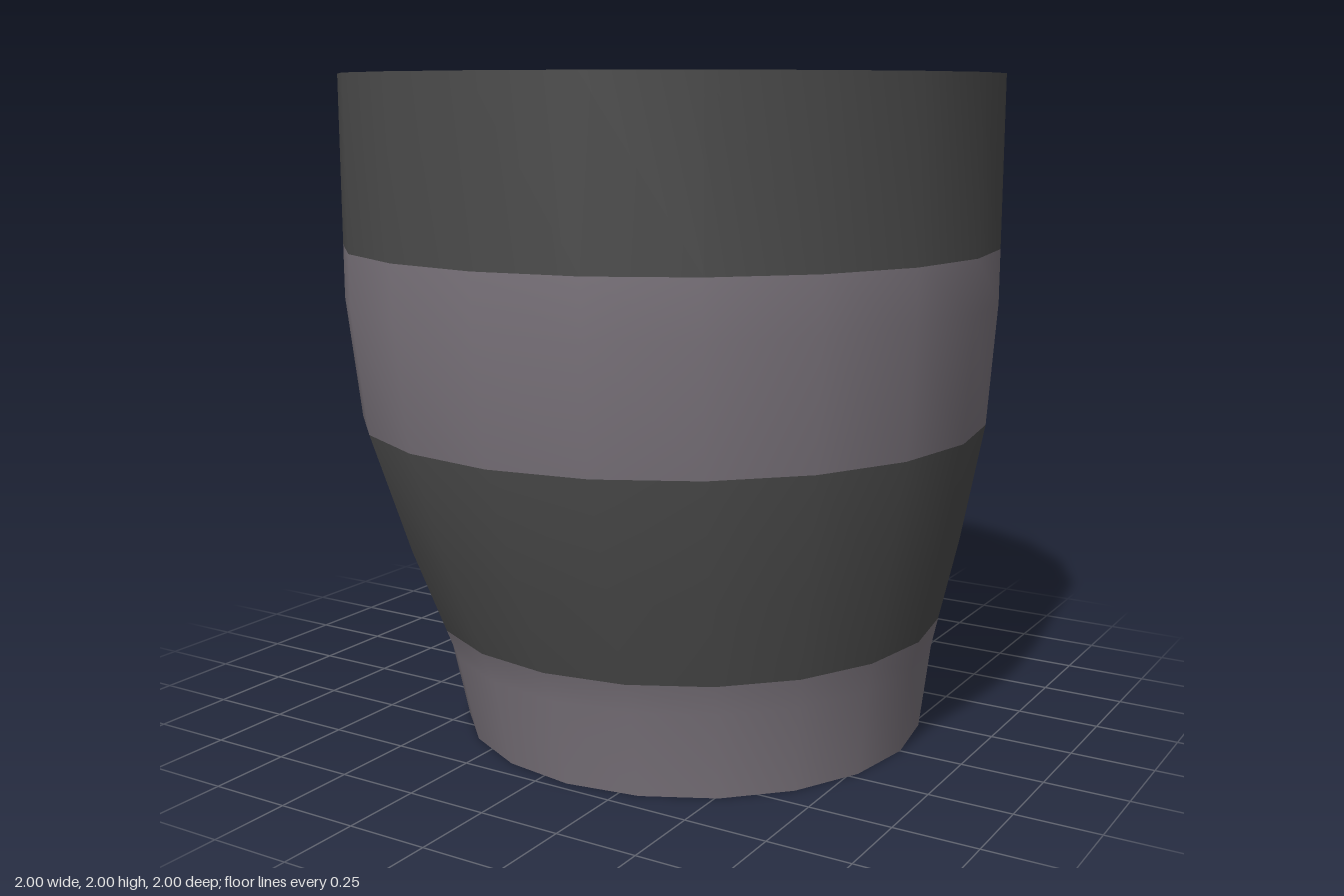
import * as THREE from 'three';
import { mergeVertices } from 'three/addons/utils/BufferGeometryUtils.js';

const SIDES = 20;

// Rings from bottom to top: height, radius, sideways shift
const RINGS = [
  [0, 0.718, 0.0875], [0.26, 0.763, 0.073], [0.35, 0.791, 0.064], [0.6, 0.87, 0.04],
  [0.96, 0.965, 0.01], [1.33, 1, 0], [1.49, 1, 0], [2, 1, 0],
];

// Half width of the regular rim polygon at depth z
function rimWidth(r, z) {
  const step = (2 * Math.PI) / SIDES;
  const t = Math.acos(THREE.MathUtils.clamp(z / r, -1, 1)) / step;
  const k = Math.min(Math.floor(t + 1e-9), SIDES / 2 - 1);
  const z0 = r * Math.cos(k * step), z1 = r * Math.cos((k + 1) * step);
  const x0 = r * Math.sin(k * step), x1 = r * Math.sin((k + 1) * step);
  return THREE.MathUtils.lerp(x0, x1, (z - z0) / (z1 - z0));
}

// Flat cap region between two edge functions, from depth zMin to zMax
function capRegion(r, [y, cx], zMin, zMax, left, right, up) {
  const zs = [zMin, zMax];
  for (let k = 0; k <= SIDES / 2; k++) zs.push(r * Math.cos((k * 2 * Math.PI) / SIDES));
  for (let k = 1; k < 30; k++) zs.push(THREE.MathUtils.lerp(zMin, zMax, k / 30));
  const rows = zs.filter((z) => z >= zMin && z <= zMax).sort((a, b) => a - b);
  const pos = [], index = [];
  rows.forEach((z, i) => {
    pos.push(cx + left(z), y, z, cx + right(z), y, z);
    if (i === 0) return;
    const a = 2 * i - 2, b = a + 1, c = a + 2, d = a + 3;
    index.push(...(up ? [a, c, d, a, d, b] : [a, d, c, a, b, d]));
  });
  const geo = new THREE.BufferGeometry();
  geo.setAttribute('position', new THREE.Float32BufferAttribute(pos, 3));
  geo.setIndex(index);
  geo.computeVertexNormals();
  return geo;
}

export function createModel() {
  const group = new THREE.Group();
  const dark = new THREE.MeshStandardMaterial({ color: 0x4b4b4b });
  dark.name = 'charcoal';
  const light = new THREE.MeshStandardMaterial({ color: 0x7b747c });
  light.name = 'mauveGrey';

  const add = (name, geo, mat) => {
    const mesh = new THREE.Mesh(geo, mat);
    mesh.name = name;
    group.add(mesh);
  };

  // Tapered wall, leaning slightly sideways towards the bottom
  let wall = new THREE.LatheGeometry(RINGS.map(([y, r]) => new THREE.Vector2(r, y)), SIDES);
  const p = wall.attributes.position;
  for (let i = 0; i < p.count; i++) p.setX(i, p.getX(i) + RINGS[i % RINGS.length][2]);
  wall.deleteAttribute('uv');
  wall.deleteAttribute('normal');
  wall = mergeVertices(wall, 1e-4);
  wall.computeVertexNormals();

  // Painted bands: first and last ring of each
  const bands = [
    ['footBand', 0, 2, light], ['lowerBand', 2, 4, dark],
    ['middleBand', 4, 6, light], ['rimBand', 6, 7, dark],
  ];
  const faces = Array.from(wall.index.array);
  const rows = RINGS.length - 1;
  for (const [name, from, to, mat] of bands) {
    const geo = wall.clone();
    geo.setIndex(faces.filter((_, i) => {
      const row = Math.floor(i / 6) % rows;
      return row >= from && row < to;
    }));
    add(name, geo, mat);
  }

  // Caps: straight stripes at the back, a rounded tongue at the front
  function cap(name, ring, up, stripes, frontZ, tongueMat, sideMat, [tz, rz, rx]) {
    const [y, r, cx] = ring;
    const rim = (z) => rimWidth(r, z);
    const tongue = (z) => {
      const t = Math.min((z - tz) / rz, 0);
      return Math.min(rim(z), rx * Math.sqrt(Math.max(0, 1 - t * t)));
    };
    const region = (part, z0, z1, left, right, mat) =>
      add(name + part, capRegion(r, [y, cx], z0, z1, left, right, up), mat);
    stripes.forEach(([z0, z1, mat]) =>
      region('Stripe', Math.max(z0, -r), z1, (z) => -rim(z), rim, mat));
    region('Tongue', frontZ, r, (z) => -tongue(z), tongue, tongueMat);
    region('RightCorner', frontZ, r, (z) => -rim(z), (z) => -tongue(z), sideMat);
    region('LeftCorner', frontZ, r, tongue, rim, sideMat);
  }

  cap('top', RINGS[RINGS.length - 1], true,
    [[-1, -0.87, dark], [-0.87, -0.4, light], [-0.4, 0.26, dark]],
    0.26, dark, light, [0.86, 0.74, 0.54]);
  cap('base', RINGS[0], false,
    [[-1, -0.63, light], [-0.63, -0.365, dark], [-0.365, -0.07, light]],
    -0.07, dark, light, [0.46, 0.53, 0.34]);

  // Centre the footprint
  const box = new THREE.Box3().setFromObject(group);
  group.position.x = -(box.min.x + box.max.x) / 2;
  return group;
}
